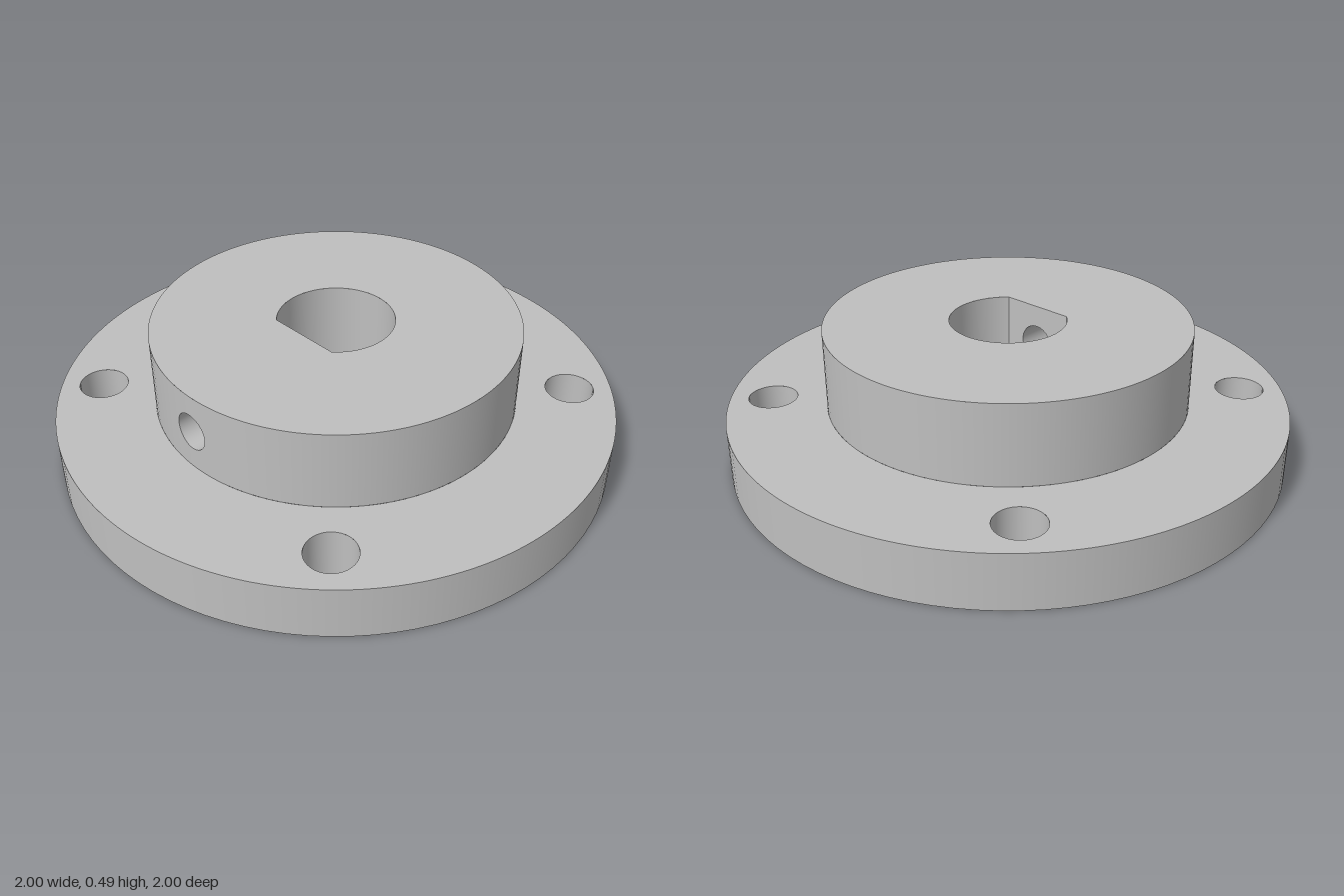
import * as THREE from 'three';
import { ParametricGeometry } from 'three/addons/geometries/ParametricGeometry.js';

const FLANGE_R = 1, FLANGE_H = 0.2;
const HUB_R = 0.65, HUB_TOP = 0.49;
const BORE_R = 0.208, FLAT_Z = 0.155;
const BOLT_R = 0.087, BOLT_POS = 0.6;
const SCREW_R = 0.067, SCREW_Y = (FLANGE_H + HUB_TOP) / 2;
const SEG = 96;

export function createModel() {
  const model = new THREE.Group();
  const steel = new THREE.MeshStandardMaterial({ color: 0xbfbfbf });
  steel.name = 'grey metal';

  const add = (name, geometry) => {
    const mesh = new THREE.Mesh(geometry, steel);
    mesh.name = name;
    model.add(mesh);
    return mesh;
  };

  const circle = (r, x = 0, y = 0) => new THREE.Shape().absarc(x, y, r, 0, Math.PI * 2, false);

  // Flat horizontal face, facing up or down
  const face = (name, shape, holes, y, up = true) => {
    shape.holes = holes;
    const g = new THREE.ShapeGeometry(shape, SEG);
    g.rotateX(up ? -Math.PI / 2 : Math.PI / 2);
    add(name, g.translate(0, y, 0));
  };

  // Vertical cylindrical wall seen from the inside
  const innerWall = (name, r, y0, y1, a0, a1, cx = 0, cz = 0) =>
    add(name, new ParametricGeometry((u, v, p) => {
      const a = a0 + (a1 - a0) * u;
      p.set(cx + r * Math.cos(a), y0 + (y1 - y0) * v, cz + r * Math.sin(a));
    }, 64, 1));

  // Flange with four bolt holes
  const corners = [[1, 1], [1, -1], [-1, 1], [-1, -1]].map(([i, j]) => [i * BOLT_POS, j * BOLT_POS]);
  const boltHoles = () => corners.map(([x, y]) => circle(BOLT_R, x, y));
  add('flangeRim', new THREE.CylinderGeometry(FLANGE_R, FLANGE_R, FLANGE_H, SEG, 1, true)
    .translate(0, FLANGE_H / 2, 0));
  face('flangeTop', circle(FLANGE_R), [...boltHoles(), circle(HUB_R)], FLANGE_H);
  face('flangeBottom', circle(FLANGE_R), boltHoles(), 0, false);
  for (const [x, z] of corners) innerWall('boltHole', BOLT_R, 0, FLANGE_H, 0, Math.PI * 2, x, z);

  // Blind D-shaped bore
  const flatAngle = Math.asin(FLAT_Z / BORE_R);
  const flatHalf = BORE_R * Math.cos(flatAngle);
  const dShape = () => {
    const s = new THREE.Shape().absarc(0, 0, BORE_R, -flatAngle, Math.PI + flatAngle, false);
    s.closePath();
    return s;
  };
  face('hubTop', circle(HUB_R), [dShape()], HUB_TOP);
  face('boreFloor', dShape(), [], FLANGE_H);
  innerWall('boreWall', BORE_R, FLANGE_H, HUB_TOP, Math.PI - flatAngle, Math.PI * 2 + flatAngle);

  // Flat side of the bore, pierced by the set screw hole
  const flat = new THREE.Shape([
    new THREE.Vector2(-flatHalf, FLANGE_H), new THREE.Vector2(flatHalf, FLANGE_H),
    new THREE.Vector2(flatHalf, HUB_TOP), new THREE.Vector2(-flatHalf, HUB_TOP),
  ]);
  flat.holes = [circle(SCREW_R, 0, SCREW_Y)];
  add('boreFlat', new THREE.ShapeGeometry(flat, 32).rotateY(Math.PI).translate(0, 0, FLAT_Z));

  // Hub side, leaving a square gap at the front for the pierced patch
  const half = (HUB_TOP - FLANGE_H) / 2;
  const gap = Math.asin(half / HUB_R);
  add('hubSide', new THREE.CylinderGeometry(HUB_R, HUB_R, HUB_TOP - FLANGE_H, SEG, 1, true, gap, Math.PI * 2 - 2 * gap)
    .translate(0, SCREW_Y, 0));

  // Curved patch running from the square gap to the round screw hole
  const hubZ = (x) => Math.sqrt(HUB_R * HUB_R - x * x);
  add('hubFrontPatch', new ParametricGeometry((u, v, p) => {
    const c = Math.cos(u * Math.PI * 2), s = Math.sin(u * Math.PI * 2);
    const r = THREE.MathUtils.lerp(half / Math.max(Math.abs(c), Math.abs(s)), SCREW_R, v);
    p.set(r * c, SCREW_Y + r * s, hubZ(r * c));
  }, 64, 4));

  // Radial set screw hole from the hub side into the bore
  add('setScrewHole', new ParametricGeometry((u, v, p) => {
    const x = SCREW_R * Math.cos(u * Math.PI * 2);
    const y = SCREW_Y + SCREW_R * Math.sin(u * Math.PI * 2);
    p.set(x, y, THREE.MathUtils.lerp(hubZ(x), FLAT_Z, v));
  }, 64, 1));

  return model;
}
